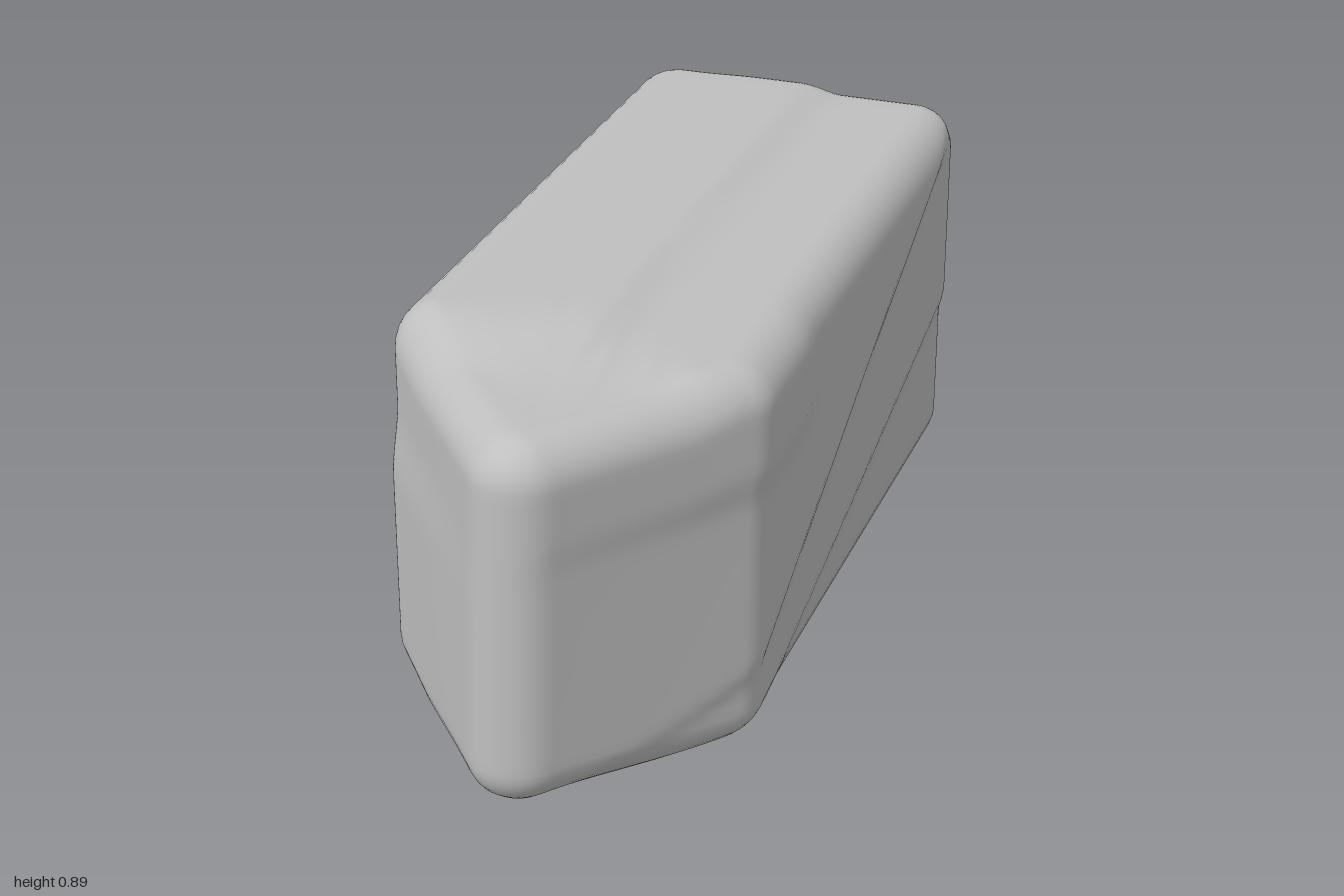
import * as THREE from 'three';

const step = THREE.MathUtils.smoothstep;

// Plan of the block: [x, z, corner radius], counter-clockwise from above
const CORNERS = [
  [0.035, 1.055, 0.1], [0.385, 0.53, 0.13], [0.382, -1, 0.11],
  [-0.387, -1, 0.11], [-0.387, 0.53, 0.13],
];

// Rounded plan outline as points with outward normals
function outline(arcSteps, edgeSteps) {
  const v = CORNERS.map(([x, z]) => new THREE.Vector2(x, z));
  const n = v.length;
  const normals = v.map((p, i) => {
    const d = v[(i + 1) % n].clone().sub(p).normalize();
    return new THREE.Vector2(-d.y, d.x);
  });
  const arcs = v.map((p, i) => {
    const n1 = normals[(i + n - 1) % n], n2 = normals[i], r = CORNERS[i][2];
    const centre = p.clone().addScaledVector(n1.clone().add(n2), -r / (1 + n1.dot(n2)));
    const angle = Math.acos(n1.dot(n2));
    return Array.from({ length: arcSteps + 1 }, (_, k) => {
      const t = k / arcSteps;
      const m = n1.clone().multiplyScalar(Math.sin((1 - t) * angle))
        .addScaledVector(n2, Math.sin(t * angle)).normalize();
      return { p: centre.clone().addScaledVector(m, r), n: m };
    });
  });
  const points = [];
  arcs.forEach((arc, i) => {
    points.push(...arc);
    const a = arc[arcSteps].p, b = arcs[(i + 1) % n][0].p;
    for (let k = 1; k < edgeSteps; k++) {
      points.push({ p: a.clone().lerp(b, k / edgeSteps), n: normals[i] });
    }
  });
  return points;
}

// Shallow terraces and the lower nose, as on hand-worked stone
function weather(x, y, z) {
  const side = THREE.MathUtils.clamp(x / 0.38, -1, 1);
  const up = step(y, 0.45, 0.85), down = 1 - step(y, 0.05, 0.45);
  let px = x + 0.03 * (y - 0.45) * (1 - Math.abs(side));
  if (side > 0) {
    const low = 0.08 + (0.4 - z) * 0.24, high = 0.25 + (0.4 - z) * 0.46;
    const out = 0.011 * step(y - low, -0.03, 0.03) + 0.011 * step(y - high, -0.03, 0.03)
      + 0.013 * step(y, 0.58, 0.68) * step(z, 0.15, 0.3);
    px += out * side;
  } else {
    const out = 0.017 * (1 - step(y, 0.5, 0.68))
      + 0.018 * (1 - step(y, 0.18, 0.32)) * (1 - step(z, -0.7, -0.5));
    px += out * side;
  }
  const nose = step(z, 0.48, 0.7);
  const top = Math.max(0.018 * step(x, 0, 0.1), 0.038 * nose);
  const bottom = Math.max(0.018 * (1 - step(x, -0.06, 0.02)), 0.042 * step(z, 0.5, 0.95))
    + 0.012 * (1 - step(x, -0.38, -0.18));
  const pz = z + 0.015 * (1 - step(x, -0.25, -0.1)) * (1 - step(z, -1, -0.8));
  return [px, y - top * up + bottom * down, pz];
}

function blockGeometry() {
  const loop = outline(10, 28);
  const bevel = 0.095, bottom = 0.004, top = 0.893;
  // Rings from the bottom centre to the top centre: y, inset, scale
  const rings = [];
  const caps = [0, 0.15, 0.3, 0.45, 0.6, 0.75, 0.9];
  caps.forEach((s) => rings.push([bottom, bevel, s]));
  for (let k = 0; k <= 8; k++) {
    const a = (k / 8) * Math.PI / 2;
    rings.push([bottom + bevel * (1 - Math.cos(a)), bevel * (1 - Math.sin(a)), 1]);
  }
  for (let k = 1; k < 28; k++) {
    rings.push([THREE.MathUtils.lerp(bottom + bevel, top - bevel, k / 28), 0, 1]);
  }
  for (let k = 0; k <= 8; k++) {
    const a = (k / 8) * Math.PI / 2;
    rings.push([top - bevel * (1 - Math.sin(a)), bevel * (1 - Math.cos(a)), 1]);
  }
  caps.slice().reverse().forEach((s) => rings.push([top, bevel, s]));

  const positions = [], index = [], count = loop.length;
  rings.forEach(([y, inset, s], j) => {
    loop.forEach(({ p, n }, i) => {
      positions.push(...weather((p.x - n.x * inset) * s, y, (p.y - n.y * inset) * s));
      if (j === rings.length - 1) return;
      const a = j * count + i, b = j * count + (i + 1) % count;
      if (j > 0) index.push(a, b, b + count);
      if (j < rings.length - 2) index.push(a, b + count, a + count);
      else index.push(a, b, a + count);
      if (j === 0) index.push(a, b + count, a + count);
    });
  });
  const geometry = new THREE.BufferGeometry();
  geometry.setAttribute('position', new THREE.Float32BufferAttribute(positions, 3));
  geometry.setIndex(index);
  geometry.computeVertexNormals();
  // The collapsed centre rings face straight down and up
  const normal = geometry.attributes.normal;
  for (let i = 0; i < count; i++) {
    normal.setXYZ(i, 0, -1, 0);
    normal.setXYZ(normal.count - 1 - i, 0, 1, 0);
  }
  return geometry;
}

export function createModel() {
  const group = new THREE.Group();
  group.name = 'pointedBlock';
  const stone = new THREE.MeshStandardMaterial({ color: 0xbfbfbf });
  stone.name = 'light grey stone';
  const block = new THREE.Mesh(blockGeometry(), stone);
  block.name = 'block';
  group.add(block);
  return group;
}
